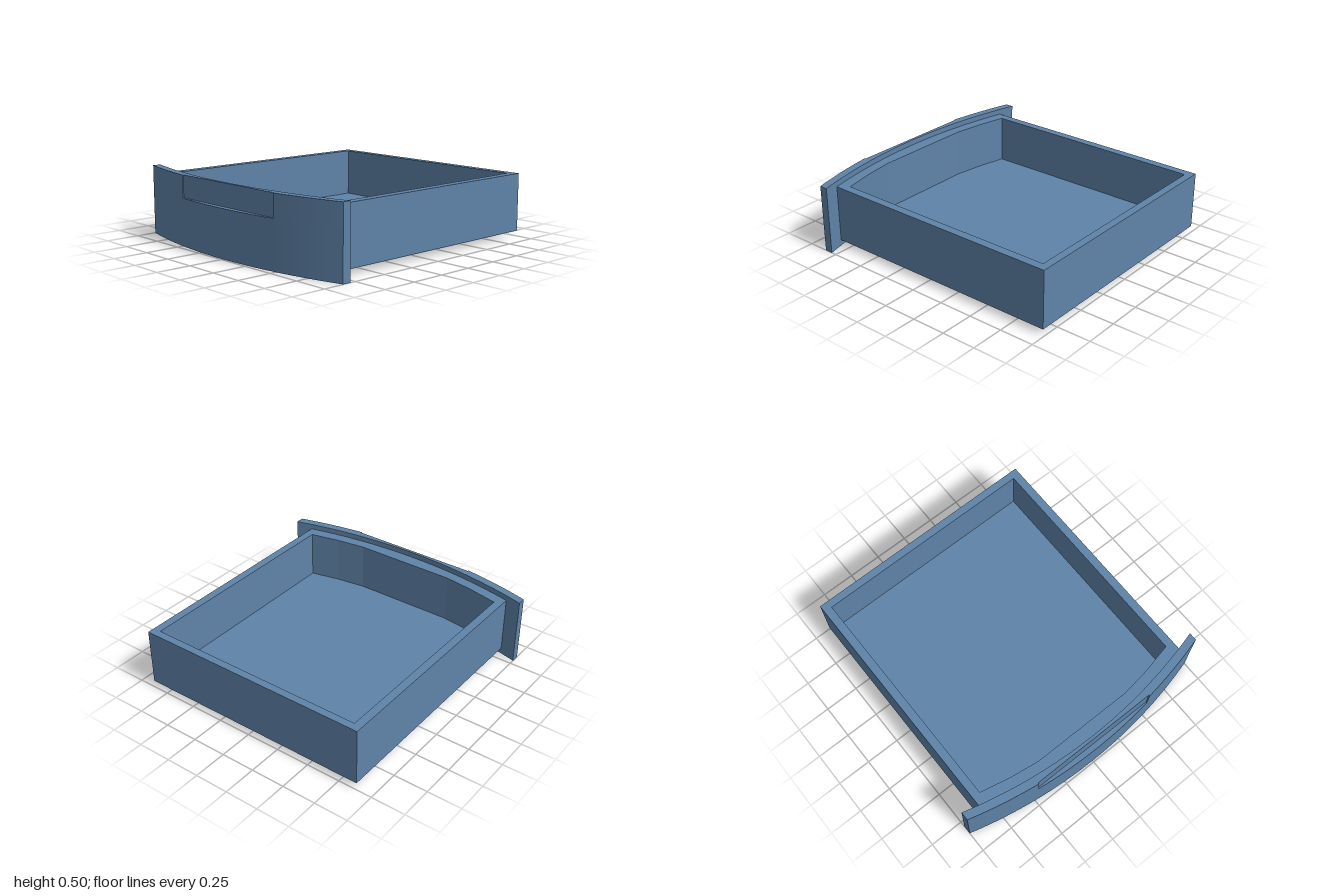
import * as THREE from 'three';

const R = 3.69; // radius of the bowed front
const bow = (x, peak) => peak - (R - Math.sqrt(R * R - x * x));

// Points along a bow from x0 to x1, as [x, z]
function arc(x0, x1, peak, n = 32) {
  return Array.from({ length: n + 1 }, (_, i) => {
    const x = x0 + ((x1 - x0) * i) / n;
    return [x, bow(x, peak)];
  });
}

// Plan outline [x, z] raised from y0 to y1
function slab(outline, y0, y1, hole) {
  const flat = (pts) => pts.map(([x, z]) => new THREE.Vector2(x, -z));
  const shape = new THREE.Shape(flat(outline));
  if (hole) shape.holes.push(new THREE.Path(flat(hole)));
  const geo = new THREE.ExtrudeGeometry(shape, { depth: y1 - y0, bevelEnabled: false });
  return geo.rotateX(-Math.PI / 2).translate(0, y0, 0);
}

export function createModel() {
  const group = new THREE.Group();
  const blue = new THREE.MeshStandardMaterial({ color: 0x5f83a8 });
  blue.name = 'steel blue';
  const add = (name, geo) => {
    const mesh = new THREE.Mesh(geo, blue);
    mesh.name = name;
    group.add(mesh);
  };

  const outer = 0.988, inner = 0.927; // peaks of the panel's two faces
  const grip = 0.483, gripZ = 0.948, gripY = 0.34;
  const back = arc(1, -1, inner);

  // Bowed front panel, with a flat finger recess cut into its upper part
  add('frontPanelLower', slab([...arc(-1, 1, outer), ...back], 0, gripY));
  add('frontPanelUpper', slab([
    ...arc(-1, -grip, outer, 12), [-grip, gripZ],
    [grip, gripZ], ...arc(grip, 1, outer, 12), ...back,
  ], gripY, 0.5));

  // Drawer box: floor and a ring of walls meeting the panel
  const box = [[-0.88, -0.99], ...arc(-0.88, 0.88, inner), [0.88, -0.99]];
  const well = [
    [-0.82, -0.935], [-0.82, 0.75], [-0.6, 0.798], [-0.38, 0.829],
    [0.38, 0.829], [0.6, 0.798], [0.82, 0.75], [0.82, -0.935],
  ];
  add('drawerFloor', slab(box, 0.043, 0.105));
  add('drawerWalls', slab(box, 0.105, 0.46, well));

  return group;
}
